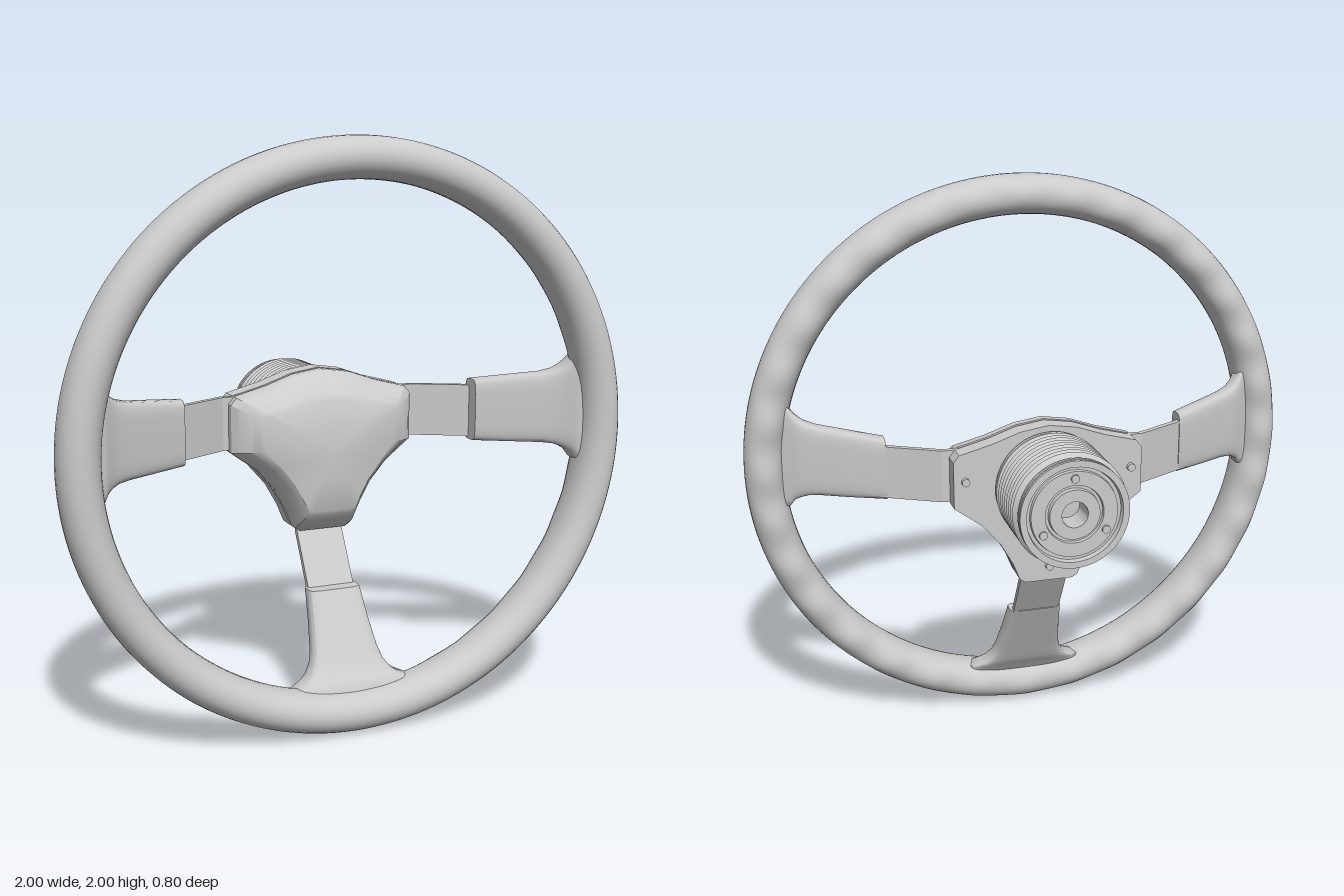
import * as THREE from 'three';
import { mergeVertices, toCreasedNormals } from 'three/addons/utils/BufferGeometryUtils.js';

const material = new THREE.MeshStandardMaterial({ color: 0xcccccc });

function mesh(name, geometry) {
  const m = new THREE.Mesh(geometry, material);
  m.name = name;
  return m;
}

// Skin over rings of equal point count, closed by fans to a centre at each end.
// Rings run counter-clockwise about the direction of the loft.
function loft(rings, startCentre, endCentre, crease) {
  const n = rings[0].length, last = (rings.length - 1) * n;
  const points = [...rings.flat(), startCentre, endCentre];
  const s = points.length - 2, e = s + 1, index = [];
  for (let i = 0; i < n; i++) {
    const j = (i + 1) % n;
    for (let k = 0; k < last; k += n) {
      index.push(k + i, k + j, k + n + j, k + i, k + n + j, k + n + i);
    }
    index.push(s, j, i, e, last + i, last + j);
  }
  const g = new THREE.BufferGeometry();
  g.setAttribute('position', new THREE.Float32BufferAttribute(points.flat(), 3));
  g.setIndex(index);
  return toCreasedNormals(g, crease);
}

// Oval-section rim with shallow finger grips along its back
function makeRim() {
  let g = new THREE.TorusGeometry(0.93, 0.07, 28, 192);
  const p = g.attributes.position;
  for (let i = 0; i < p.count; i++) {
    const x = p.getX(i), y = p.getY(i), s = p.getZ(i) / 0.07;
    const grip = 0.006 * Math.pow(Math.max(0, -s), 2) * Math.cos(32 * Math.atan2(y, x));
    p.setZ(i, Math.sign(s) * Math.pow(Math.abs(s), 0.88) * 0.09 - grip);
  }
  g.deleteAttribute('uv');
  g.deleteAttribute('normal');
  g = mergeVertices(g, 1e-5);
  g.computeVertexNormals();
  const rim = mesh('rim', g);
  rim.position.set(0, 1, 0.305);
  return rim;
}

// Spoke along local +x: bent flat bar plus padded sleeve flaring into the rim.
// Sections: [radius, z, lower edge, upper edge, half thickness]
function makeSpoke(name, angle, sections, lo, hi, bend) {
  const group = new THREE.Group();
  group.name = name;
  const bar = new THREE.Shape([
    [0.1, -0.025], [bend, -0.025], [0.6, 0.105], [0.6, 0.13], [bend - 0.005, -0.005], [0.1, -0.005],
  ].map(([r, z]) => new THREE.Vector2(r, z)));
  const barGeometry = new THREE.ExtrudeGeometry(bar, { depth: hi - lo, bevelEnabled: false });
  barGeometry.rotateX(Math.PI / 2).translate(0, hi, 0);

  const power = (v) => Math.sign(v) * Math.pow(Math.abs(v), 0.42);
  const rings = sections.map(([r, z, a, b, h]) => Array.from({ length: 32 }, (_, i) => {
    const t = (i / 32) * Math.PI * 2;
    return [r, (a + b) / 2 + (b - a) / 2 * power(Math.cos(t)), z + h * power(Math.sin(t))];
  }));
  const centre = ([r, z, a, b]) => [r, (a + b) / 2, z];
  const sleeve = loft(rings, centre(sections[0]), centre(sections[sections.length - 1]), 0.9);

  group.add(mesh('spokeBar', barGeometry), mesh('spokeSleeve', sleeve));
  group.position.y = 1;
  group.rotation.z = angle;
  return group;
}

// Right half of the hub outline and of the smaller front face, from top to bottom
const OUTER = [[0, 1.205], [0.1, 1.19], [0.2, 1.155], [0.315, 1.125], [0.335, 1.1], [0.335, 0.935],
  [0.24, 0.865], [0.175, 0.79], [0.13, 0.71], [0.105, 0.648], [0.085, 0.635]];
const INNER = [[0, 1.12], [0.08, 1.115], [0.165, 1.095], [0.235, 1.08], [0.25, 1.06], [0.25, 0.95],
  [0.19, 0.885], [0.14, 0.82], [0.105, 0.755], [0.088, 0.722], [0.07, 0.715]];

// Full outline at depth z, blended from outer to inner, then scaled about the hub
function hubRing(z, blend, scale = 1) {
  const half = OUTER.map(([x, y], i) => [
    scale * (x + (INNER[i][0] - x) * blend),
    0.93 + scale * (y + (INNER[i][1] - y) * blend - 0.93), z]);
  const left = half.map(([x, y]) => [-x, y, z]);
  return [...left, ...half.slice(1).reverse()];
}

function makeHub() {
  const hub = new THREE.Group();
  hub.name = 'hub';
  const slab = (name, z0, z1, scale) => mesh(name, loft(
    [hubRing(z0, 0, scale), hubRing(z1, 0, scale)], [0, 0.93, z0], [0, 0.93, z1], 0.4));
  hub.add(slab('backPlate', -0.09, -0.022, 1), slab('gasket', -0.024, -0.006, 0.95));

  // Domed front pad with bevelled sides
  const pad = loft([
    hubRing(-0.008, 0), hubRing(0.022, 0), hubRing(0.05, 0.22), hubRing(0.085, 0.62),
    hubRing(0.105, 0.92), hubRing(0.113, 1.1), hubRing(0.128, 1, 0.5),
  ], [0, 0.93, -0.008], [0, 0.93, 0.135], 0.5);
  hub.add(mesh('frontPad', pad));

  // Screws on the back plate
  for (const [x, y] of [[-0.295, 1.03], [0.295, 1.03], [0, 0.69]]) {
    const screw = mesh('plateScrew', new THREE.CylinderGeometry(0.014, 0.014, 0.02, 16));
    screw.rotation.x = Math.PI / 2;
    screw.position.set(x, y, -0.095);
    hub.add(screw);
  }
  return hub;
}

// Ribbed boot with an end collar, stepped rear face and central bore
function makeColumn() {
  const column = new THREE.Group();
  column.name = 'column';
  const profile = [[0.18, 0.08], [0.193, 0.1], [0.193, 0.115]];
  const ribs = 9, pitch = 0.026;
  for (let i = 0; i < ribs; i++) {
    for (const [f, r] of [[0, 0.184], [0.25, 0.193], [0.5, 0.198], [0.75, 0.193]]) {
      profile.push([r, 0.12 + (i + f) * pitch]);
    }
  }
  profile.push([0.18, 0.355], [0.175, 0.36], [0.175, 0.366], [0.187, 0.368], [0.187, 0.38],
    [0.181, 0.384], [0.187, 0.388], [0.187, 0.4], [0.165, 0.4], [0.162, 0.38], [0.15, 0.38],
    [0.148, 0.392], [0.1, 0.392], [0.098, 0.38], [0.088, 0.38], [0.086, 0.396], [0.045, 0.396],
    [0.045, 0.3], [0, 0.3]);
  const lathe = new THREE.LatheGeometry(profile.map(([r, d]) => new THREE.Vector2(r, d)), 64);
  lathe.rotateX(-Math.PI / 2);
  column.add(mesh('ribbedBoot', toCreasedNormals(lathe, 0.7)));

  for (let i = 0; i < 3; i++) {
    const a = Math.PI / 2 + (i * Math.PI * 2) / 3;
    const bolt = mesh('endBolt', new THREE.CylinderGeometry(0.014, 0.014, 0.02, 16));
    bolt.rotation.x = Math.PI / 2;
    bolt.position.set(0.124 * Math.cos(a), 0.124 * Math.sin(a), -0.39);
    column.add(bolt);
  }
  column.position.y = 0.993;
  return column;
}

export function createModel() {
  const side = [
    [0.535, 0.105, -0.07, 0.15, 0.04], [0.65, 0.162, -0.072, 0.165, 0.041],
    [0.75, 0.215, -0.073, 0.178, 0.042], [0.79, 0.236, -0.077, 0.19, 0.043],
    [0.815, 0.252, -0.086, 0.207, 0.046], [0.835, 0.268, -0.1, 0.23, 0.048],
    [0.85, 0.28, -0.125, 0.255, 0.048], [0.9, 0.3, -0.14, 0.27, 0.035],
  ];
  const flip = side.map(([r, z, a, b, h]) => [r, z, -b, -a, h]);
  const bottom = [
    [0.55, 0.11, 0.095, 0.04], [0.65, 0.162, 0.105, 0.041], [0.74, 0.21, 0.118, 0.042],
    [0.78, 0.232, 0.13, 0.043], [0.81, 0.25, 0.15, 0.046], [0.828, 0.264, 0.175, 0.048],
    [0.842, 0.276, 0.21, 0.048], [0.9, 0.3, 0.23, 0.035],
  ].map(([r, z, w, h]) => [r, z, -w, w, h]);

  const model = new THREE.Group();
  model.name = 'steeringWheel';
  model.add(
    makeRim(),
    makeSpoke('leftSpoke', 0, side, -0.06, 0.125, 0.36),
    makeSpoke('rightSpoke', Math.PI, flip, -0.125, 0.06, 0.36),
    makeSpoke('bottomSpoke', -Math.PI / 2, bottom, -0.085, 0.085, 0.38),
    makeHub(),
    makeColumn(),
  );
  return model;
}
